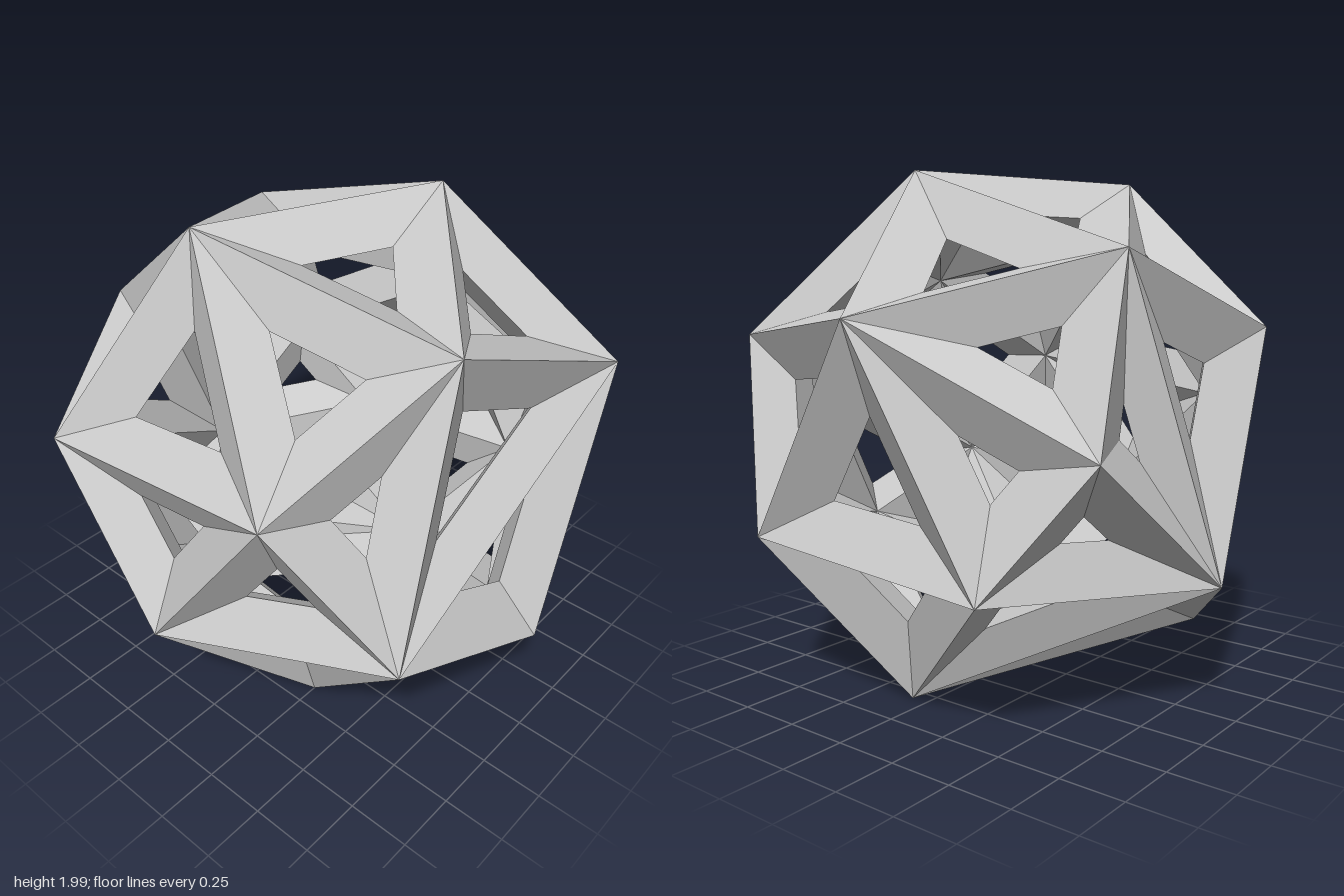
import * as THREE from 'three';

// Outer corner points of the lattice ball, measured from its centre
const CORNERS = {
  A: [-0.51, 0.97, -0.2], B: [0.36, 0.99, 0.21], C: [-0.29, 0.74, 0.79], D: [1, 0.46, -0.05],
  E: [0.64, 0.36, 0.87], F: [-0.93, 0.28, 0.5], G: [-0.67, -0.3, 0.88], H: [-1, -0.42, 0],
  I: [0.91, -0.37, 0.52], J: [0.08, -0.59, 0.97], K: [-0.43, -0.97, 0.27], L: [0.56, -1, 0.07],
  M: [0.39, 0.69, -0.76], N: [-0.28, 0.41, -0.94], O: [0.68, 0.02, -0.85], P: [0.08, -0.49, -0.97],
  Q: [0.87, -0.46, -0.5], R: [-0.45, -0.82, -0.58], S: [-0.9, 0.125, -0.62],
};

// Triangular cells spanned between the corners
const CELLS = ('ABC ACF CFG FGH BCE CEG EGJ BDE DEI EIJ IJL JKL GJK GHK ABM BDM DMO ' +
  'DOQ DIQ ILQ LPQ OPQ MOP MNP AMN ANS NPS PRS LPR KLR HKR HRS FHS AFS').split(' ');

const MID = 0.885;   // scale of the layer holding the openings
const INNER = 0.77;  // scale of the inner ridges
const INSET = 0.145; // distance from cell edge to opening

// Corners of a cell, ordered counter-clockwise from outside
function cellCorners(cell) {
  const [a, b, c] = [...cell].map((k) => new THREE.Vector3(...CORNERS[k]));
  const normal = b.clone().sub(a).cross(c.clone().sub(a));
  return normal.dot(a) > 0 ? [a, b, c] : [a, c, b];
}

// Evenly inset triangle: shrink about the incentre
function opening(tri) {
  const sides = tri.map((_, i) => tri[(i + 1) % 3].distanceTo(tri[(i + 2) % 3]));
  const perimeter = sides[0] + sides[1] + sides[2];
  const centre = new THREE.Vector3();
  tri.forEach((p, i) => centre.addScaledVector(p, sides[i] / perimeter));
  const area = new THREE.Triangle(...tri).getArea();
  const keep = Math.max(0.05, 1 - (INSET * perimeter) / (2 * area));
  return tri.map((p) => centre.clone().lerp(p, keep));
}

// Frame of one cell: outer bevels down to the opening, inner bevels back to the inner ridge
function frameGeometry(cell) {
  const outer = cellCorners(cell);
  const hole = opening(outer.map((p) => p.clone().multiplyScalar(MID)));
  const inner = outer.map((p) => p.clone().multiplyScalar(INNER));
  const points = [];
  const quad = (a, b, c, d) => points.push(a, b, c, a, c, d);
  for (let i = 0; i < 3; i++) {
    const j = (i + 1) % 3;
    quad(outer[i], outer[j], hole[j], hole[i]);
    quad(inner[j], inner[i], hole[i], hole[j]);
  }
  const geometry = new THREE.BufferGeometry().setFromPoints(points);
  geometry.computeVertexNormals();
  return geometry;
}

export function createModel() {
  const model = new THREE.Group();
  model.name = 'latticeBall';
  const material = new THREE.MeshStandardMaterial({ color: 0xcccccc, flatShading: true });
  for (const cell of CELLS) {
    const frame = new THREE.Mesh(frameGeometry(cell), material);
    frame.name = 'triangleFrame';
    frame.position.y = 1;
    model.add(frame);
  }
  return model;
}
